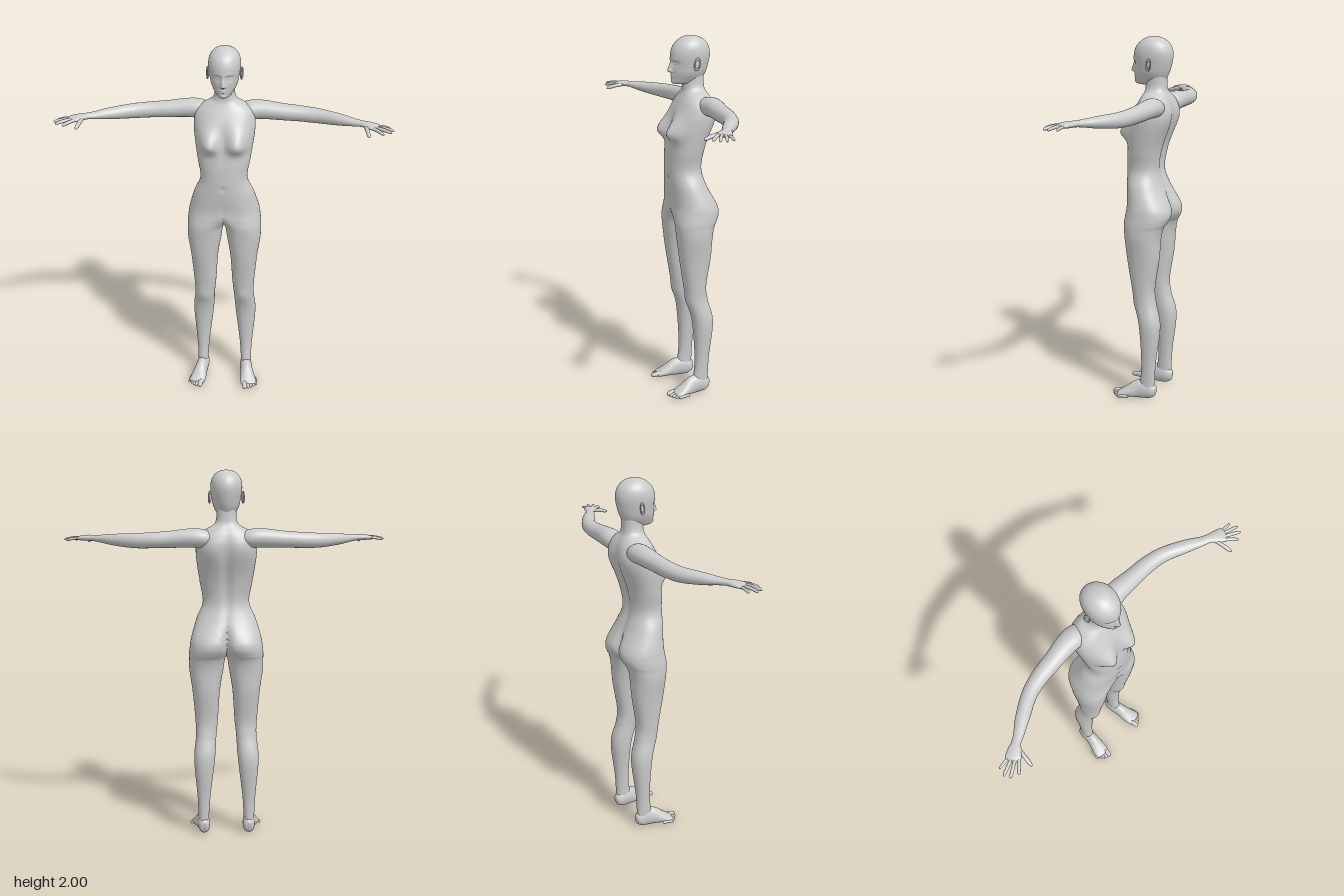
import * as THREE from 'three';

const material = new THREE.MeshStandardMaterial({ color: 0xcccccc });

// Catmull-Rom blend of whole rows of numbers
function sampleRows(rows, t) {
  const n = rows.length - 1;
  const i = Math.min(Math.floor(t * n), n - 1);
  const f = t * n - i;
  const row = (k) => rows[Math.max(0, Math.min(n, k))];
  const [a, b, c, d] = [row(i - 1), row(i), row(i + 1), row(i + 2)];
  return b.map((p, k) => p + 0.5 * f * (c[k] - a[k] +
    f * (2 * a[k] - 5 * p + 4 * c[k] - d[k] + f * (3 * (p - c[k]) + d[k] - a[k]))));
}

// Skin of rings; place(t) returns a function from angle to point
function loft(rings, segments, place) {
  const positions = [], index = [];
  for (let i = 0; i <= rings; i++) {
    const point = place(i / rings);
    for (let j = 0; j < segments; j++) {
      positions.push(...point((j / segments) * Math.PI * 2).toArray());
      if (i === rings) continue;
      const a = i * segments + j, b = i * segments + (j + 1) % segments;
      index.push(a, a + segments, b, b, a + segments, b + segments);
    }
  }
  const g = new THREE.BufferGeometry();
  g.setAttribute('position', new THREE.Float32BufferAttribute(positions, 3));
  g.setIndex(index);
  g.computeVertexNormals();
  return g;
}

// Soft swellings and hollows: [x, y, width, height, amount, share of the height below]
function relief(bumps, x, y) {
  return bumps.reduce((sum, [bx, by, w, h, amount, below = 1]) => {
    const u = (Math.abs(x) - bx) / w, v = (y - by) / (y > by ? h : h * below);
    return sum + amount * Math.exp(-(u * u + v * v) / 2);
  }, 0);
}

// Upright form, rows: [y, centre x, inner radius, outer radius, front z, back z]
function upright(rows, rings, segments, front, back, power, half) {
  const soft = (v) => Math.sign(v) * Math.pow(Math.abs(v), power);
  return loft(rings, segments, (t) => {
    const [y, cx, rin, rout, zf, zb] = sampleRows(rows, t);
    return (angle) => {
      const c = Math.cos(angle), s = Math.sin(angle);
      let x = cx + soft(c) * (c > 0 ? rout : rin);
      if (half && (x < 0 || (y > 1.02 && x < 0.0005))) x = 0;
      const z = (zf + zb) / 2 + soft(s) * (zf - zb) / 2;
      const bump = Math.min(1, Math.abs(s) * 1.5) * relief(s > 0 ? front : back, x, y);
      return new THREE.Vector3(x, y, z + Math.sign(s) * bump);
    };
  });
}

// Form along a path, rows: [x, y, z, sideways radius, upward radius]
function limb(rows, rings, segments, floor = -1) {
  const up = new THREE.Vector3(0, 1, 0);
  const at = (t) => new THREE.Vector3(...sampleRows(rows, Math.min(1, Math.max(0, t))).slice(0, 3));
  return loft(rings, segments, (t) => {
    const [x, y, z, ra, rb] = sampleRows(rows, t);
    const along = at(t + 0.02).sub(at(t - 0.02)).normalize();
    const side = along.clone().cross(up).normalize();
    const lift = side.clone().cross(along);
    return (angle) => {
      const p = new THREE.Vector3(x, y, z)
        .addScaledVector(side, Math.cos(angle) * ra).addScaledVector(lift, Math.sin(angle) * rb);
      p.y = Math.max(p.y, floor);
      return p;
    };
  });
}

// Finger or toe: an arched path with a rounded tip
function digit(base, tip, r, floor) {
  const rows = [0, 0.3, 0.55, 0.8, 0.94, 1].map((f) => {
    const [x, y, z] = base.map((v, k) => v + (tip[k] - v) * f);
    const size = r * Math.max(0.03, Math.sqrt(1 - f ** 8));
    return [x, y + 0.004 * Math.sin(f * Math.PI), z, size, size];
  });
  return limb(rows, 20, 12, floor);
}

function mirrored(source) {
  const g = source.clone();
  for (const name of ['position', 'normal']) {
    const a = g.attributes[name];
    for (let i = 0; i < a.count; i++) a.setX(i, -a.getX(i));
  }
  const ix = g.index.array;
  for (let i = 0; i < ix.length; i += 3) [ix[i], ix[i + 1]] = [ix[i + 1], ix[i]];
  return g;
}

// Half body from ankle to neck, closed on the midline above the crotch
function halfBody() {
  // inner x, outer x
  const leg = [
    [0.05, 0.099, 0.154, -0.025, -0.115], [0.2, 0.09, 0.16, -0.04, -0.12],
    [0.42, 0.064, 0.178, -0.027, -0.143], [0.55, 0.055, 0.167, 0.005, -0.115],
    [0.64, 0.046, 0.17, 0.02, -0.106], [0.8, 0.035, 0.185, 0.045, -0.13],
    [0.92, 0.016, 0.202, 0.058, -0.138], [0.98, 0.006, 0.203, 0.064, -0.15],
  ].map(([y, a, b, zf, zb]) => [y, (a + b) / 2, (b - a) / 2, (b - a) / 2, zf, zb]);
  // half width; the section's centre slides to the midline above the hips
  const torso = [
    [1.01, 0.203, 0.066, -0.165], [1.05, 0.199, 0.064, -0.178], [1.1, 0.191, 0.062, -0.172],
    [1.2, 0.162, 0.075, -0.128], [1.29, 0.127, 0.08, -0.106], [1.4, 0.143, 0.075, -0.121],
    [1.53, 0.162, 0.055, -0.163], [1.6, 0.163, 0.038, -0.174], [1.65, 0.15, 0.016, -0.166],
    [1.685, 0.112, -0.002, -0.15], [1.71, 0.07, -0.012, -0.136], [1.74, 0.055, -0.015, -0.13],
    [1.8, 0.052, -0.017, -0.128],
  ].map(([y, w, zf, zb]) => {
    const cx = Math.max(0, 0.1 - (y - 1) * 0.47);
    return [y, cx, cx + Math.min(0.12, (y - 1) * 1.2), w - cx, zf, zb];
  });
  const front = [
    [0.078, 1.492, 0.036, 0.052, 0.056, 0.55], // breast
    [0, 1.5, 0.014, 0.055, -0.008], // breastbone
    [0, 1.06, 0.03, 0.035, 0.008], // lower belly
    [0, 1.245, 0.008, 0.009, -0.008], // navel
    [0.11, 0.55, 0.025, 0.027, 0.006], // kneecap
  ];
  const back = [
    [0, 1.42, 0.018, 0.15, -0.016], // spine hollow
    [0, 1.08, 0.013, 0.05, -0.035], // seat cleft
    [0.085, 1.58, 0.035, 0.05, 0.01], // shoulder blade
    [0.09, 1.05, 0.045, 0.04, 0.006], // seat
  ];
  const g = upright([...leg, ...torso], 200, 72, front, back, 0.9, true);
  // Smooth shading across the midline
  const { position, normal } = g.attributes;
  for (let i = 0; i < position.count; i++) if (position.getX(i) === 0) normal.setX(i, 0);
  g.normalizeNormals();
  return g;
}

function head() {
  const rows = [
    [1.742, 0.012, 0, -0.07], [1.747, 0.028, 0.036, -0.105], [1.757, 0.041, 0.046, -0.115],
    [1.8, 0.066, 0.05, -0.138], [1.84, 0.076, 0.051, -0.152], [1.9, 0.085, 0.054, -0.163],
    [1.945, 0.08, 0.04, -0.154], [1.975, 0.062, 0.012, -0.13], [1.993, 0.036, -0.02, -0.095],
    [2, 0.001, -0.055, -0.057],
  ].map(([y, r, zf, zb]) => [y, 0, r, r, zf, zb]);
  const face = [
    [0, 1.817, 0.008, 0.028, 0.022, 0.22], // nose
    [0.011, 1.815, 0.005, 0.006, 0.007], // nostril wing
    [0.031, 1.858, 0.013, 0.01, -0.011], // eye socket
    [0.031, 1.856, 0.008, 0.005, 0.007], // eye
    [0.03, 1.876, 0.016, 0.006, 0.004], // brow
    [0, 1.793, 0.013, 0.003, 0.006], // upper lip
    [0, 1.782, 0.012, 0.003, 0.006], // lower lip
    [0, 1.761, 0.014, 0.007, 0.006], // chin
  ];
  return upright(rows, 130, 152, face, [], 1, false);
}

export function createModel() {
  const model = new THREE.Group();
  model.name = 'figure';
  const add = (name, g) => {
    const m = new THREE.Mesh(g, material);
    m.name = name;
    model.add(m);
  };
  const pair = (name, g) => {
    add('left' + name, g);
    add('right' + name, mirrored(g));
  };

  pair('TorsoAndLeg', halfBody());
  add('head', head());

  // Ears
  const place = (g) => g.rotateY(-0.35).rotateX(-0.15).translate(0.086, 1.855, -0.062);
  pair('EarRim', place(new THREE.TorusGeometry(0.017, 0.004, 8, 28).scale(0.8, 1.65, 1)
    .rotateY(Math.PI / 2).translate(0.004, 0, 0)));
  pair('EarBowl', place(new THREE.SphereGeometry(1, 20, 14).scale(0.006, 0.027, 0.013)));

  // Arm and palm
  pair('Arm', limb([
    [0.06, 1.625, -0.09, 0.045, 0.035], [0.13, 1.638, -0.108, 0.059, 0.05],
    [0.2, 1.641, -0.111, 0.055, 0.05], [0.3, 1.634, -0.104, 0.048, 0.045],
    [0.4, 1.629, -0.097, 0.044, 0.042], [0.5, 1.626, -0.074, 0.039, 0.039],
    [0.61, 1.629, -0.018, 0.035, 0.03], [0.68, 1.632, 0.024, 0.027, 0.02],
    [0.72, 1.634, 0.045, 0.024, 0.016], [0.755, 1.634, 0.066, 0.034, 0.016],
    [0.79, 1.632, 0.088, 0.038, 0.012], [0.808, 1.631, 0.099, 0.004, 0.001],
  ], 88, 32));

  // Fingers: base, tip, radius
  [
    ['Thumb', [0.738, 1.63, 0.078], [0.754, 1.608, 0.176], 0.0105],
    ['IndexFinger', [0.77, 1.632, 0.108], [0.828, 1.618, 0.161], 0.009],
    ['MiddleFinger', [0.785, 1.633, 0.098], [0.868, 1.622, 0.143], 0.009],
    ['RingFinger', [0.795, 1.632, 0.083], [0.883, 1.622, 0.112], 0.0085],
    ['LittleFinger', [0.795, 1.63, 0.068], [0.868, 1.62, 0.07], 0.0075],
  ].forEach(([name, base, tip, r]) => pair(name, digit(base, tip, r)));

  // Foot with a flat sole
  pair('Foot', limb([
    [0.123, 0.035, -0.123, 0.002, 0.002], [0.123, 0.036, -0.118, 0.02, 0.026],
    [0.124, 0.042, -0.1, 0.031, 0.044], [0.126, 0.05, -0.065, 0.034, 0.054],
    [0.132, 0.046, -0.02, 0.035, 0.052], [0.141, 0.03, 0.03, 0.042, 0.034],
    [0.149, 0.018, 0.068, 0.045, 0.021], [0.153, 0.014, 0.088, 0.038, 0.013],
    [0.154, 0.012, 0.094, 0.004, 0.002],
  ], 64, 36, 0));

  // Toes, from big to little
  for (let i = 0; i < 5; i++) {
    const r = i === 0 ? 0.014 : 0.0105 - i * 0.0006;
    const x = i === 0 ? 0.123 : 0.128 + i * 0.0145;
    const z = 0.132 - i * 0.007 - i * i * 0.0012;
    pair('Toe' + (i + 1), digit([x, r + 0.003, z - 0.065], [x + 0.01, r * 0.8, z], r, 0));
  }
  return model;
}
